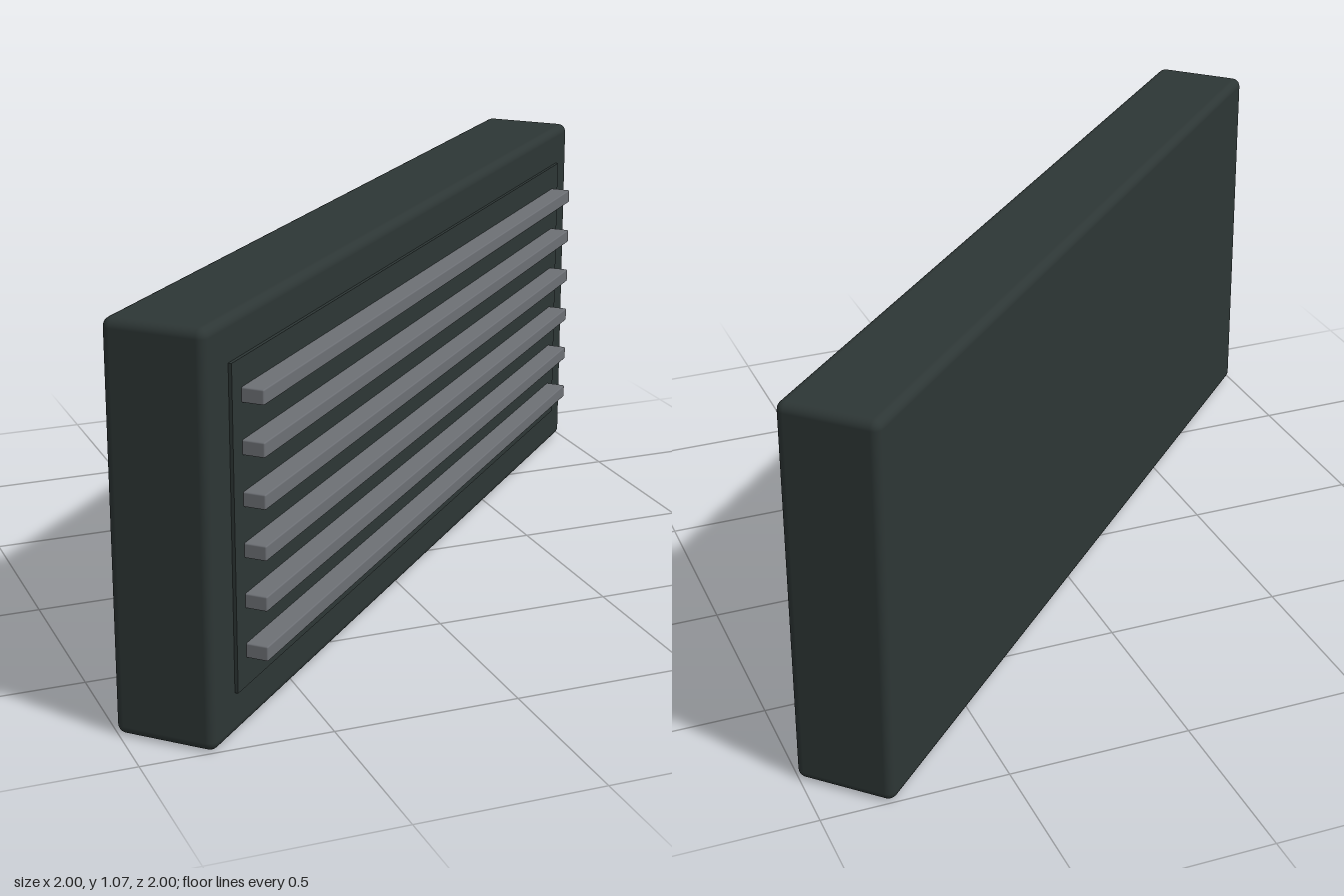
import * as THREE from 'three';
import { RoundedBoxGeometry } from 'three/addons/geometries/RoundedBoxGeometry.js';

function material(name, color) {
  const m = new THREE.MeshStandardMaterial({ color });
  m.name = name;
  return m;
}

export function createModel() {
  const model = new THREE.Group();
  model.name = 'wallVent';
  const casing = material('dark casing', 0x2d3635);
  const metal = material('grey metal', 0x6d7075);

  // Everything is laid out facing +z, then turned to stand diagonally
  const unit = new THREE.Group();
  unit.name = 'ventUnit';
  unit.rotation.y = Math.PI / 4;
  model.add(unit);

  function add(name, geometry, mat, x, y, z) {
    const mesh = new THREE.Mesh(geometry, mat);
    mesh.name = name;
    mesh.position.set(x, y, z);
    unit.add(mesh);
  }

  // Housing with softened edges
  const height = 1.07;
  add('housing', new RoundedBoxGeometry(2.575, height, 0.276, 3, 0.025), casing, 0, height / 2, 0);

  // Slightly raised front panel
  add('frontPanel', new THREE.BoxGeometry(2.348, 0.846, 0.04), casing, 0, 0.537, 0.127);

  // Six horizontal slats
  const slat = new RoundedBoxGeometry(2.25, 0.039, 0.075, 1, 0.004);
  for (let i = 0; i < 6; i++) {
    add('slat' + (i + 1), slat, metal, 0, 0.208 + i * 0.132, 0.168);
  }
  return model;
}
